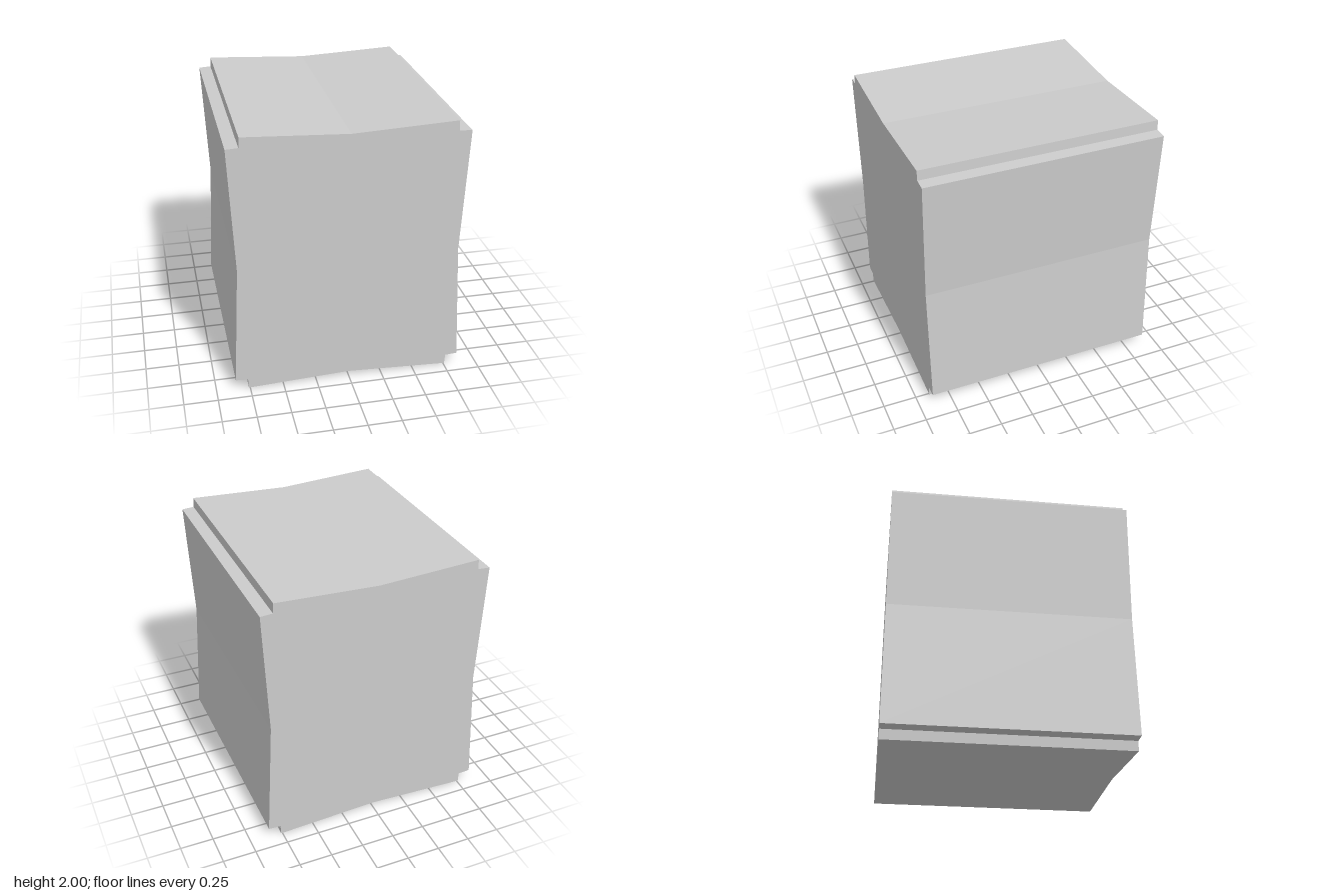
import * as THREE from 'three';

// One quarter of the cross-section, from the right waist to the top waist,
// measured from the centre of the block
const QUARTER = [[0.81, 0], [0.855, 0.92], [0.764, 0.926], [0.76, 1], [0, 0.963]];
const HEIGHT = 2;
const DEPTH = 1.79;

// Mirror the quarter into a closed counter-clockwise outline
function outline() {
  const half = [...QUARTER, ...QUARTER.slice(0, -1).reverse().map(([x, y]) => [-x, y])];
  const lower = half.slice(1, -1).reverse().map(([x, y]) => [x, -y]);
  return [...half, ...lower.reverse().map(([x, y]) => [-x, y])]
    .map(([x, y]) => new THREE.Vector2(x, y + HEIGHT / 2));
}

export function createModel() {
  const group = new THREE.Group();
  group.name = 'notchedBlock';

  // Block with pinched sides and a stepped notch along each long corner
  const geometry = new THREE.ExtrudeGeometry(new THREE.Shape(outline()), {
    depth: DEPTH,
    bevelEnabled: false,
  });
  geometry.translate(0, 0, -DEPTH / 2);

  const block = new THREE.Mesh(
    geometry,
    new THREE.MeshStandardMaterial({ color: 0xcccccc, flatShading: true }),
  );
  block.name = 'block';
  group.add(block);
  return group;
}
